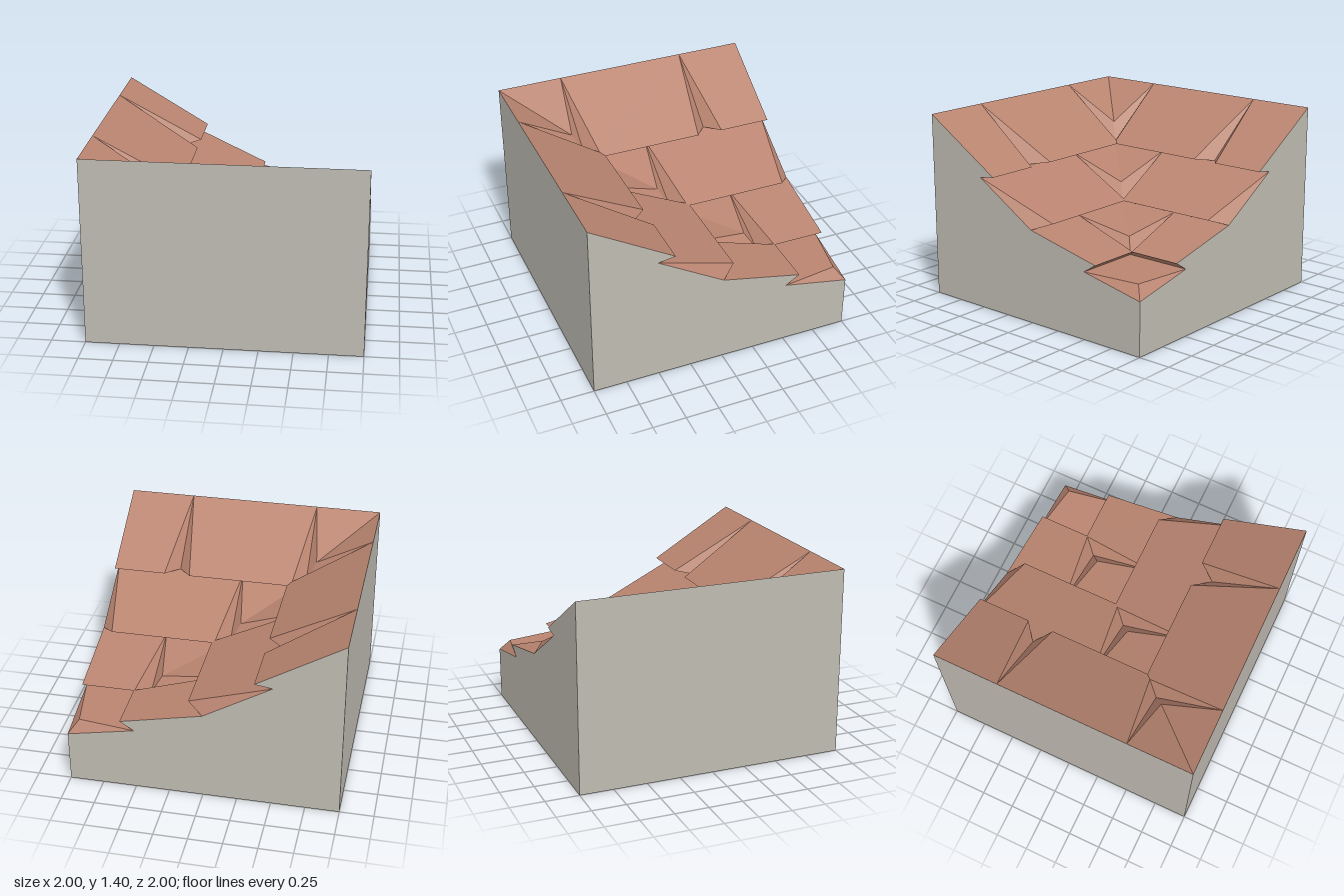
import * as THREE from 'three';

// Cliff profile: u = distance from the tall wall, y = height.
// Each ledge runs from its root to an overhanging lip, then cuts back to the next root.
const roots = [[0, 1.4], [0.5, 1.0], [1.0, 0.7], [1.5, 0.5], [2.0, 0.4]];
const lips = [[0.63, 1.02], [1.12, 0.745], [1.605, 0.567], [2.1, 0.487]];
const CRACK = 0.1; // half width of a crack at the lip

// Positions along the cliff where cells meet; [position, crack half width]
const oddStops = [[-1, 0], [-0.5, CRACK], [0.5, CRACK], [1, 0]];
const evenStops = [[-1, CRACK], [0, CRACK], [1, CRACK]];

// Keep the part of a polygon on the near side of the mitre plane x + z = 0
function clipToMitre(poly) {
  const out = [];
  poly.forEach((p, i) => {
    const q = poly[(i + 1) % poly.length];
    const dp = p.x + p.z, dq = q.x + q.z;
    if (dp <= 1e-6) out.push(p);
    if ((dp < -1e-6 && dq > 1e-6) || (dp > 1e-6 && dq < -1e-6)) {
      out.push(p.clone().lerp(q, dp / (dp - dq)));
    }
  });
  return out;
}

// Faces of one ledge of the left cliff, before mitring
function ledgeFaces(i) {
  const stops = i % 2 === 0 ? oddStops : evenStops;
  const at = ([u, y], z) => new THREE.Vector3(u - 1, y, z);
  const root = z => at(roots[i], z);
  const lip = z => at(lips[i], z);
  const foot = z => at(roots[i + 1], z);
  const faces = [];
  for (let k = 0; k < stops.length - 1; k++) {
    const [z1, w1] = stops[k], [z2, w2] = stops[k + 1];
    const l1 = lip(z1 + w1), l2 = lip(z2 - w2);
    faces.push([root(z1), root(z2), l2, l1]); // sloping top
    if (i < 3) faces.push([l1, l2, foot(z2), foot(z1)]); // undercut
    if (w1) faces.push([root(z1), l1, foot(z1)]); // crack walls
    if (w2) faces.push([root(z2), foot(z2), l2]);
  }
  return faces;
}

// Flat-shaded geometry from polygons; mirrored swaps the two cliffs across the mitre
function polygonGeometry(polys, mirrored) {
  const pos = [];
  for (const poly of polys) {
    for (let k = 1; k < poly.length - 1; k++) {
      const tri = mirrored ? [poly[0], poly[k + 1], poly[k]] : [poly[0], poly[k], poly[k + 1]];
      for (const p of tri) {
        if (mirrored) pos.push(-p.z, p.y, -p.x);
        else pos.push(p.x, p.y, p.z);
      }
    }
  }
  const g = new THREE.BufferGeometry();
  g.setAttribute('position', new THREE.Float32BufferAttribute(pos, 3));
  g.computeVertexNormals();
  return g;
}

export function createModel() {
  const rock = new THREE.MeshStandardMaterial({ color: 0xb98470 });
  rock.name = 'red rock';
  const stone = new THREE.MeshStandardMaterial({ color: 0xbfbbb2 });
  stone.name = 'grey cut stone';

  const model = new THREE.Group();
  model.name = 'cliffCorner';
  const add = (name, geometry, material) => {
    const mesh = new THREE.Mesh(geometry, material);
    mesh.name = name;
    model.add(mesh);
    return mesh;
  };

  // Cracked, overhanging ledges of both cliffs
  for (let i = 0; i < 4; i++) {
    const polys = ledgeFaces(i).map(clipToMitre).filter(p => p.length > 2);
    add(`leftLedge${i + 1}`, polygonGeometry(polys, false), rock);
    add(`frontLedge${i + 1}`, polygonGeometry(polys, true), rock);
  }

  // Stepped cut walls; cracked ledges meet the cut along the crack floor
  const outline = [
    [0, 0], [2, 0], roots[4], roots[3], lips[2], roots[2], roots[1], lips[0], roots[0],
  ].map(([u, y]) => new THREE.Vector2(u - 1, y));
  const rightCut = new THREE.ShapeGeometry(new THREE.Shape(outline));
  rightCut.rotateY(Math.PI / 2); // outline x becomes -z
  rightCut.translate(1, 0, 0);
  add('rightCutWall', rightCut, stone);

  const backOutline = outline.map(p => new THREE.Vector2(-p.x, p.y));
  const backCut = new THREE.ShapeGeometry(new THREE.Shape(backOutline));
  backCut.rotateY(Math.PI); // faces -z
  backCut.translate(0, 0, -1);
  add('backCutWall', backCut, stone);

  // Tall plain walls and the underside
  add('frontWall', new THREE.PlaneGeometry(2, 1.4), stone).position.set(0, 0.7, 1);
  const left = add('leftWall', new THREE.PlaneGeometry(2, 1.4), stone);
  left.rotation.y = -Math.PI / 2;
  left.position.set(-1, 0.7, 0);
  add('underside', new THREE.PlaneGeometry(2, 2), stone).rotation.x = Math.PI / 2;

  return model;
}
